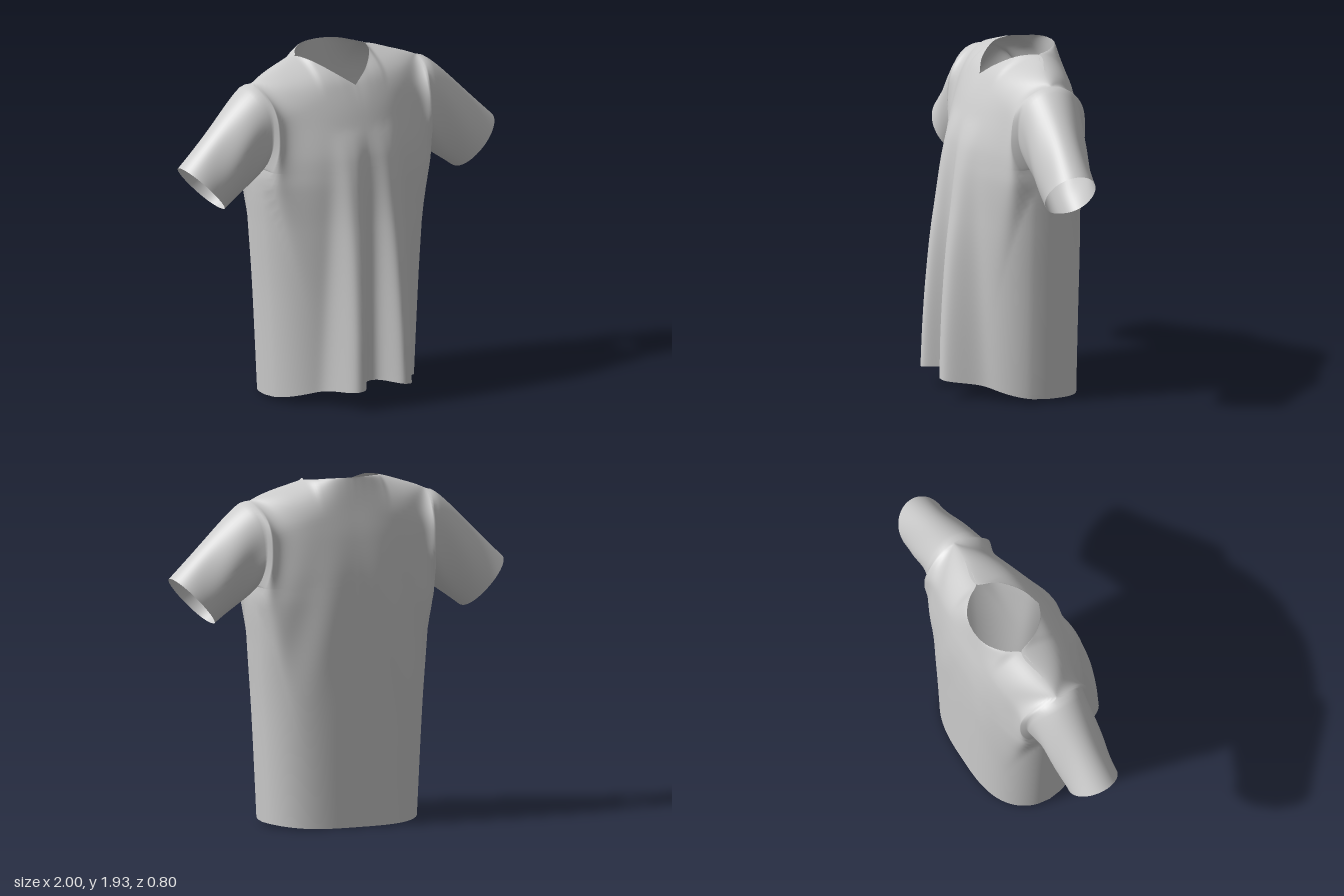
import * as THREE from 'three';
import { mergeVertices } from 'three/addons/utils/BufferGeometryUtils.js';

const COLS = 96, LOWER = 44, UPPER = 30, RINGS = 24;
const ARM = { y: 1.57, ry: 0.232, z: -0.105, rz: 0.185, power: 2.5 }; // armhole oval
const PIT = ARM.y - ARM.ry, TIP = ARM.y + ARM.ry;

// Smooth interpolation through [key, value] pairs
function curve(pts) {
  const slope = (i) => {
    const a = pts[Math.max(i - 1, 0)], b = pts[Math.min(i + 1, pts.length - 1)];
    return (b[1] - a[1]) / (b[0] - a[0]);
  };
  return (k) => {
    if (k <= pts[0][0]) return pts[0][1];
    if (k >= pts[pts.length - 1][0]) return pts[pts.length - 1][1];
    const i = pts.findIndex((p) => p[0] > k) - 1;
    const [k0, v0] = pts[i], [k1, v1] = pts[i + 1];
    const h = k1 - k0, t = (k - k0) / h, t2 = t * t, t3 = t2 * t;
    return v0 * (2 * t3 - 3 * t2 + 1) + v1 * (3 * t2 - 2 * t3)
      + h * slope(i) * (t3 - 2 * t2 + t) + h * slope(i + 1) * (t3 - t2);
  };
}

// Body profiles by height
const halfWidth = curve([[0, 0.455], [0.6, 0.488], [1, 0.518], [1.25, 0.535], [PIT, 0.525], [1.5, 0.508], [1.7, 0.515], [TIP, 0.54]]);
const frontZ = curve([[0.1, 0.262], [0.6, 0.268], [1, 0.268], [1.39, 0.25], [1.61, 0.185], [1.77, 0.11], [1.84, 0.05], [1.91, -0.06]]);
const backZ = curve([[0, -0.385], [1, -0.395], [1.39, -0.385], [1.6, -0.365], [1.775, -0.335], [1.925, -0.31]]);
const foldDepth = curve([[0.1, 0.155], [0.42, 0.135], [0.78, 0.1], [1.19, 0.045], [1.55, 0]]);

// Upper edge by distance from the centre line: neckline, then shoulder
const shoulderY = [[0.232, 1.908], [0.4, 1.856], [0.48, 1.828], [0.54, TIP]];
const frontTopY = curve([[0, 1.77], [0.1, 1.84], [0.19, 1.9], ...shoulderY]);
const backTopY = curve([[0, 1.928], [0.12, 1.925], [0.2, 1.913], ...shoulderY]);
const shoulderZ = [[0.232, -0.15], [0.4, -0.12], [0.54, ARM.z]];
const frontTopZ = curve([[0, 0.11], [0.1, 0.055], [0.19, -0.05], ...shoulderZ]);
const backTopZ = curve([[0, -0.312], [0.06, -0.305], [0.12, -0.28], [0.19, -0.215], ...shoulderZ]);

const bump = (x, c, w, p = 2) => Math.exp(-(Math.abs((x - c) / w) ** p));

// Depth of the cloth for the front (side = 1) or back (side = -1) panel
function clothZ(side, u, y) {
  const s = Math.abs(u), x = s * halfWidth(y);
  const round = Math.sqrt(Math.max(0, 1 - s ** (side > 0 ? 2.1 : 3)));
  let z = ARM.z + ((side > 0 ? frontZ(y) : backZ(y)) - ARM.z) * round;
  // the side opens around the armhole, easing into the body below it
  let h = (y - ARM.y) / ARM.ry;
  if (h < 0) h /= 1 + 14 * (1 - s);
  const open = Math.max(0, 1 - Math.abs(h) ** ARM.power);
  z += side * ARM.rz * open ** (0.5 + 6 * (1 - s)) * s ** 10;
  // two hanging folds in front that spread towards the hem, soft drape behind
  const spread = (u > 0 ? 0.164 : 0.152) * (1 - 0.16 * y);
  if (side > 0) return z + foldDepth(y) * bump(x, spread, u > 0 ? 0.088 : 0.083, 2.7);
  return z + 0.01 * bump(y, 1.2, 0.35) * Math.cos(x * 22 + y * 5) * round * s;
}

function panelPoint(side, u, row) {
  const s = Math.abs(u), topX = s * 0.54;
  const topY = (side > 0 ? frontTopY : backTopY)(topX);
  const topZ = (side > 0 ? frontTopZ : backTopZ)(topX);
  const hem = side > 0 ? 0.02 + 0.1 * (1 - s * s) : 0.02 * s ** 4;
  const y = row <= LOWER
    ? THREE.MathUtils.lerp(hem, PIT, row / LOWER)
    : THREE.MathUtils.lerp(PIT, topY, (1 - Math.cos((Math.PI * (row - LOWER)) / UPPER)) / 2);
  // roll the cloth over in a rounded curve to meet the neckline and shoulder
  const q = Math.max(0, 1 - (topY - y) / 0.2);
  const roll = 1 - Math.sqrt(1 - q * q);
  const z = clothZ(side, u, y) + (topZ - clothZ(side, u, topY)) * roll;
  return [u * halfWidth(y), y, z];
}

// Sleeve: loft from the armhole oval to the slanted cuff oval
function sleevePoint(mirror, a, t) {
  const { lerp } = THREE.MathUtils;
  const c = Math.cos(a), sn = Math.sin(a), facing = Math.sign(sn);
  const armhole = facing * Math.sqrt(Math.max(0, 1 - Math.abs(c) ** ARM.power));
  const cuff = facing * Math.abs(sn) ** (c > 0 ? 1 : 0.85);
  const y0 = ARM.y + ARM.ry * c;
  const cinch = 1 - (1 - t) ** 2; // depth narrows quickly after the armhole
  const swell = 0.024 * Math.sin(Math.PI * Math.sqrt(t)) * (1 - 0.5 * t) * c;
  const crease = 0.01 * Math.sin(t * Math.PI) * Math.sin(3 * Math.abs(a - Math.PI) + 5 * t) * sn * Math.abs(sn);
  return [
    mirror * (lerp(halfWidth(y0), 0.878 + 0.122 * c, t) + swell * 0.68),
    lerp(y0, 1.27 + 0.13 * c, t) + swell * 0.73,
    lerp(ARM.z + ARM.rz * armhole, -0.09 + 0.14 * cuff, cinch) + crease,
  ];
}

export function createModel() {
  const positions = [], indices = [];

  // Grid of points; flip reverses the facing
  function addGrid(nu, nv, point, flip) {
    const base = positions.length / 3;
    for (let j = 0; j <= nv; j++)
      for (let i = 0; i <= nu; i++) positions.push(...point(i, j));
    for (let j = 0; j < nv; j++)
      for (let i = 0; i < nu; i++) {
        const a = base + j * (nu + 1) + i, b = a + 1, c = a + nu + 1, d = c + 1;
        if (flip) indices.push(a, d, b, a, c, d);
        else indices.push(a, b, d, a, d, c);
      }
  }

  // Front and back panels
  for (const side of [1, -1])
    addGrid(COLS, LOWER + UPPER, (i, j) => panelPoint(side, (2 * i) / COLS - 1, j), side < 0);

  // Sleeves, sharing the armhole points with the panels
  for (const mirror of [1, -1])
    addGrid(2 * UPPER, RINGS, (i, j) => sleevePoint(mirror, (Math.PI * i) / UPPER, j / RINGS), mirror < 0);

  let geometry = new THREE.BufferGeometry();
  geometry.setAttribute('position', new THREE.Float32BufferAttribute(positions, 3));
  geometry.setIndex(indices);
  geometry = mergeVertices(geometry, 1e-4); // weld seams so shading flows across
  geometry.computeVertexNormals();

  const cloth = new THREE.MeshStandardMaterial({ color: 0xcccccc, side: THREE.DoubleSide });
  cloth.name = 'lightGreyCloth';
  const shirt = new THREE.Mesh(geometry, cloth);
  shirt.name = 'shirtCloth';

  const group = new THREE.Group();
  group.name = 'shirt';
  group.add(shirt);
  return group;
}
